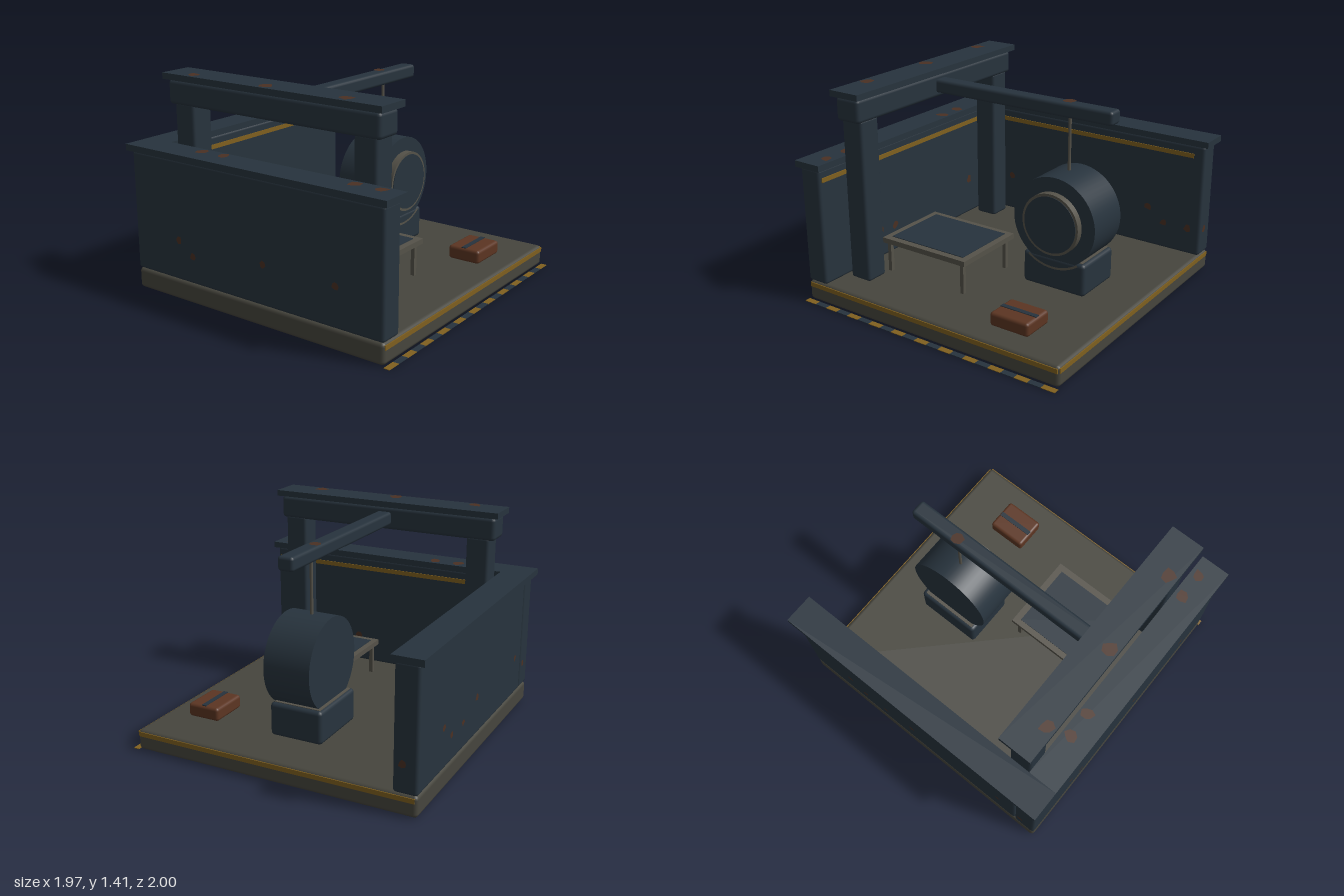
import * as THREE from 'three';
import { RoundedBoxGeometry } from 'three/addons/geometries/RoundedBoxGeometry.js';

const mat = (name, color, side = THREE.FrontSide) => {
  const m = new THREE.MeshStandardMaterial({ color, side });
  m.name = name;
  return m;
};

export function createModel() {
  const navy = mat('navy paint', 0x27333d);
  const floorGrey = mat('floor concrete', 0x46453d);
  const metal = mat('bare metal', 0x555249);
  const gold = mat('gold trim', 0x80601f);
  const rust = mat('rust patch', 0x4a3023, THREE.DoubleSide);
  const crate = mat('rusty box', 0x5c3522);

  const model = new THREE.Group();
  model.name = 'workshopBay';

  const add = (name, geo, material, parent = model) => {
    const mesh = new THREE.Mesh(geo, material);
    mesh.name = name;
    parent.add(mesh);
    return mesh;
  };
  // Box given by its ranges on each axis; r > 0 rounds the edges
  const box = (name, material, [x0, x1], [y0, y1], [z0, z1], r = 0, parent = model) => {
    const s = [x1 - x0, y1 - y0, z1 - z0];
    const geo = r ? new RoundedBoxGeometry(...s, 2, r) : new THREE.BoxGeometry(...s);
    const mesh = add(name, geo, material, parent);
    mesh.position.set((x0 + x1) / 2, (y0 + y1) / 2, (z0 + z1) / 2);
    return mesh;
  };
  const group = (name) => {
    const g = new THREE.Group();
    g.name = name;
    model.add(g);
    return g;
  };

  // Floor slab with gold trim on its two open sides
  box('floorSlab', floorGrey, [-0.965, 0.96], [0.004, 0.14], [-0.967, 0.957], 0.025);
  box('slabTrimFront', gold, [-0.95, 0.95], [0.097, 0.127], [0.952, 0.96]);
  box('slabTrimSide', gold, [0.955, 0.963], [0.097, 0.127], [-0.95, 0.945]);

  // Hazard strip on the ground
  const hazard = group('hazardStrip');
  const n = 21, step = 1.93 / n;
  for (let i = 0; i < n; i++) {
    const x = -0.97 + i * step;
    box('hazardBlock', i % 2 ? navy : gold, [x, x + step], [0, 0.004], [0.96, 1], 0, hazard);
  }

  // Walls, caps and gold lines
  box('sideWall', navy, [-0.965, -0.81], [0.14, 0.925], [-0.967, 0.957], 0.02);
  box('backWall', navy, [-0.81, 0.96], [0.14, 0.925], [-0.967, -0.812], 0.02);
  box('sideWallCap', navy, [-0.985, -0.785], [0.923, 0.965], [-0.8, 0.98]);
  box('backWallCap', navy, [-0.985, 0.985], [0.923, 0.965], [-1, -0.8]);
  box('sideWallLine', gold, [-0.812, -0.804], [0.837, 0.867], [-0.8, 0.935]);
  box('backWallLine', gold, [-0.8, 0.885], [0.837, 0.867], [-0.814, -0.806]);

  // Gantry: two columns, header, cap and crane arm
  const gantry = group('gantry');
  for (const s of [-1, 1]) {
    const z = s * 0.688;
    box('gantryColumn', navy, [-0.77, -0.61], [0.14, 1.23], [z - 0.079, z + 0.079], 0.02, gantry);
  }
  box('gantryHeader', navy, [-0.785, -0.602], [1.212, 1.368], [-0.805, 0.797], 0.025, gantry);
  box('gantryCap', navy, [-0.805, -0.58], [1.37, 1.41], [-0.83, 0.822], 0, gantry);
  box('craneArm', navy, [-0.63, 0.73], [1.245, 1.335], [-0.063, 0.043], 0.02, gantry);
  add('hoistRod', new THREE.CylinderGeometry(0.01, 0.01, 0.37, 12), metal, gantry)
    .position.set(0.41, 1.07, -0.005);

  // Drum lying along z, with a metal-rimmed hatch
  const drum = group('drum');
  drum.position.set(0.41, 0.598, 0);
  const disc = (name, material, r, z0, z1) => {
    const geo = new THREE.CylinderGeometry(r, r, z1 - z0, 56).rotateX(Math.PI / 2);
    add(name, geo, material, drum).position.z = (z0 + z1) / 2;
  };
  disc('drumBody', navy, 0.298, -0.148, 0.168);
  disc('hatchRim', metal, 0.204, 0.16, 0.213);
  disc('hatchFace', navy, 0.187, 0.209, 0.217);
  const saddle = new THREE.RingGeometry(0.299, 0.314, 24, 1, -2.2, 1.26);
  add('saddleEdge', saddle, metal, drum).position.z = 0.1745;

  // Cradle under the drum
  box('cradle', navy, [0.185, 0.64], [0.14, 0.36], [-0.19, 0.172], 0.025);
  box('cradleTop', metal, [0.21, 0.615], [0.356, 0.363], [-0.17, 0.15]);

  // Work table
  const table = group('table');
  box('tableTop', metal, [-0.65, 0.02], [0.347, 0.382], [0.04, 0.58], 0, table);
  box('tableMat', navy, [-0.605, -0.025], [0.38, 0.386], [0.08, 0.535], 0, table);
  for (const x of [-0.62, -0.023]) for (const z of [0.08, 0.54]) {
    box('tableLeg', metal, [x - 0.013, x + 0.013], [0.14, 0.35], [z - 0.013, z + 0.013], 0, table);
  }

  // Toolbox on the floor with a dark strap
  box('toolbox', crate, [0.365, 0.64], [0.142, 0.232], [0.565, 0.792], 0.02);
  box('toolboxStrap', navy, [0.375, 0.63], [0.23, 0.236], [0.66, 0.692]);

  // Rust patches: small irregular plates
  let seed = 7;
  const rand = () => (seed = (seed * 16807) % 2147483647) / 2147483647;
  const spots = group('rustPatches');
  const spot = (r, x, y, z, rx, ry) => {
    const pts = [];
    for (let i = 0; i < 7; i++) {
      const a = (i / 7) * Math.PI * 2, k = r * (0.65 + 0.55 * rand());
      pts.push(new THREE.Vector2(Math.cos(a) * k, Math.sin(a) * k));
    }
    const m = add('rustPatch', new THREE.ShapeGeometry(new THREE.Shape(pts)), rust, spots);
    m.position.set(x, y, z);
    m.rotation.set(rx, ry, 0);
  };
  const H = Math.PI / 2;
  for (const z of [-0.61, -0.03, 0.545]) spot(0.047, -0.75, 1.413, z, -H, 0);
  for (const z of [-0.475, -0.3, 0.67, 0.85]) spot(0.042, -0.84, 0.968, z, -H, 0);
  spot(0.045, 0.4, 1.338, -0.025, -H, 0);
  // Inner and outer faces of the back wall
  for (const [x, y] of [[-0.585, 0.41], [-0.44, 0.33], [-0.285, 0.33], [0.565, 0.42], [0.69, 0.33], [0.87, 0.33]]) {
    spot(0.028, x, y, -0.809, 0, 0);
  }
  for (const [x, y] of [[0.6, 0.41], [0.47, 0.32], [0.285, 0.32], [0.06, 0.4], [-0.67, 0.41], [-0.85, 0.31]]) {
    spot(0.025, x, y, -0.97, 0, Math.PI);
  }
  // Inner and outer faces of the side wall, and the back wall's end
  for (const [z, y] of [[-0.56, 0.41], [0.28, 0.33], [0.42, 0.34]]) spot(0.028, -0.807, y, z, 0, H);
  for (const [z, y] of [[-0.585, 0.41], [-0.47, 0.32], [0.1, 0.4], [0.63, 0.4]]) spot(0.025, -0.968, y, z, 0, -H);
  spot(0.03, 0.963, 0.325, -0.875, 0, H);

  return model;
}
